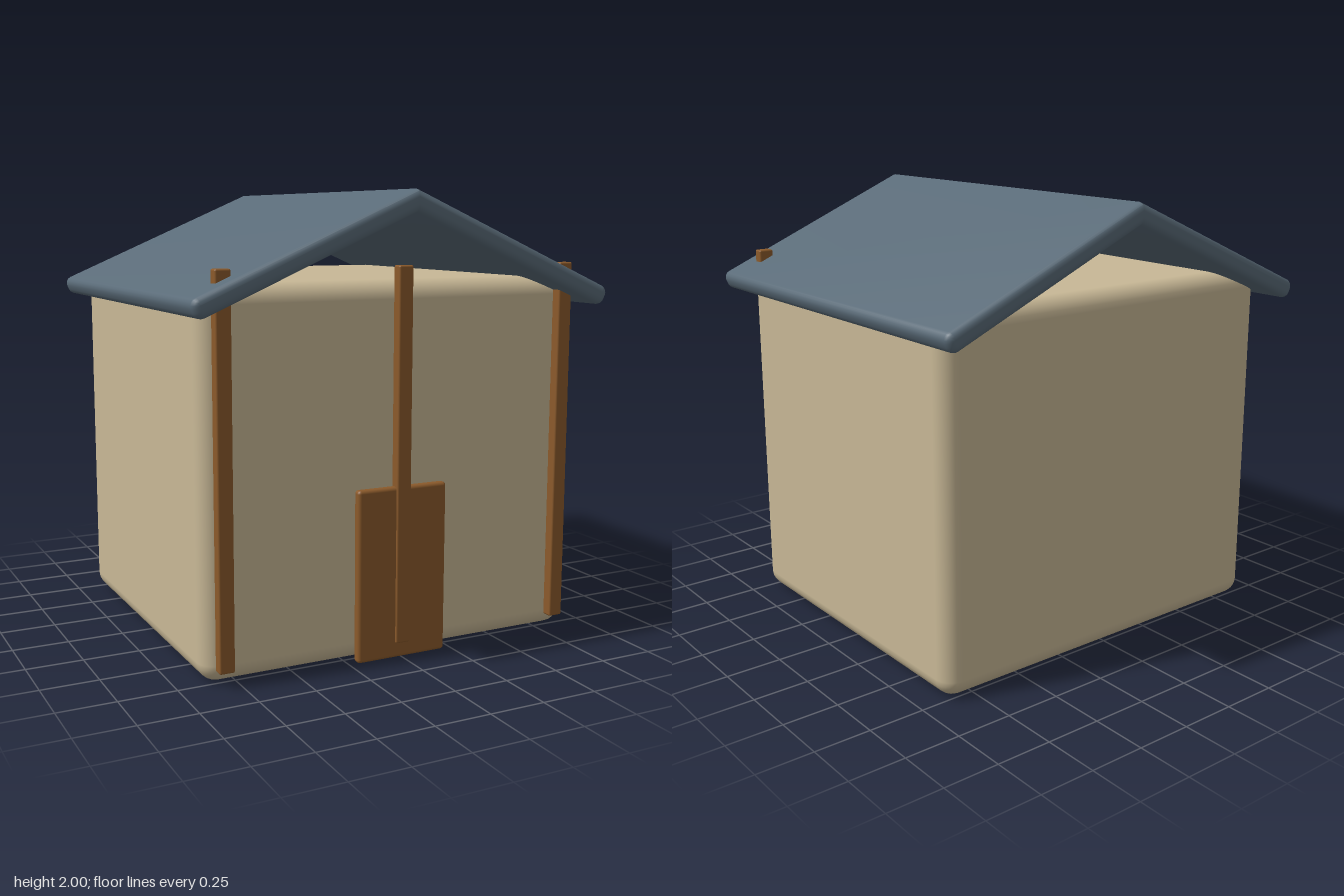
import * as THREE from 'three';
import { toCreasedNormals } from 'three/addons/utils/BufferGeometryUtils.js';
import { RoundedBoxGeometry } from 'three/addons/geometries/RoundedBoxGeometry.js';

const material = (name, color) => new THREE.MeshStandardMaterial({ name, color });

// Chevron outline: mitred ridge, rounded eaves
function roofShape() {
  const ridge = 2, pitch = 0.407, length = 1.073, thick = 0.087, r = 0.034, steps = 4;
  const c = Math.cos(pitch), s = Math.sin(pitch);
  const right = [];
  for (const [depth, start] of [[r, Math.PI / 2], [thick - r, 0]]) {
    const cx = (length - r) * c - depth * s;
    const cy = ridge - (length - r) * s - depth * c;
    for (let i = 0; i <= steps; i++) {
      const a = start - pitch - (i / steps) * Math.PI / 2;
      right.push(new THREE.Vector2(cx + r * Math.cos(a), cy + r * Math.sin(a)));
    }
  }
  const left = right.map(p => new THREE.Vector2(-p.x, p.y)).reverse();
  return new THREE.Shape([
    new THREE.Vector2(0, ridge), ...right,
    new THREE.Vector2(0, ridge - thick / c), ...left,
  ]);
}

export function createModel() {
  const house = new THREE.Group();
  house.name = 'house';
  const plaster = material('plaster', 0xc8b896);
  const slate = material('slate', 0x5a6b78);
  const wood = material('wood', 0x8b5a2b);

  const add = (name, geometry, mat, x = 0, y = 0, z = 0) => {
    const mesh = new THREE.Mesh(geometry, mat);
    mesh.name = name;
    mesh.position.set(x, y, z);
    house.add(mesh);
  };

  // Soft-edged walls
  add('walls', new RoundedBoxGeometry(1.8, 1.625, 1.57, 3, 0.08), plaster, 0, 0.8165, 0);

  // Gabled roof with softened front and back edges
  const bevel = 0.03, depth = 1.855 - 2 * bevel;
  const roof = new THREE.ExtrudeGeometry(roofShape(), {
    depth, bevelEnabled: true, bevelSize: bevel, bevelThickness: bevel,
    bevelOffset: -bevel, bevelSegments: 4,
  });
  roof.translate(0, 0, -depth / 2);
  add('roof', toCreasedNormals(roof, 0.6), slate);

  // Front timbers; the outer two pass through the roof
  [['leftPost', 0.815], ['centrePost', 0], ['rightPost', -0.815]].forEach(([name, x]) =>
    add(name, new RoundedBoxGeometry(0.068, 1.625, 0.05, 2, 0.008), wood, x, 0.8775, 0.806));

  // Door behind the centre post
  add('door', new RoundedBoxGeometry(0.43, 0.755, 0.044, 2, 0.015), wood, 0, 0.3775, 0.801);

  return house;
}
